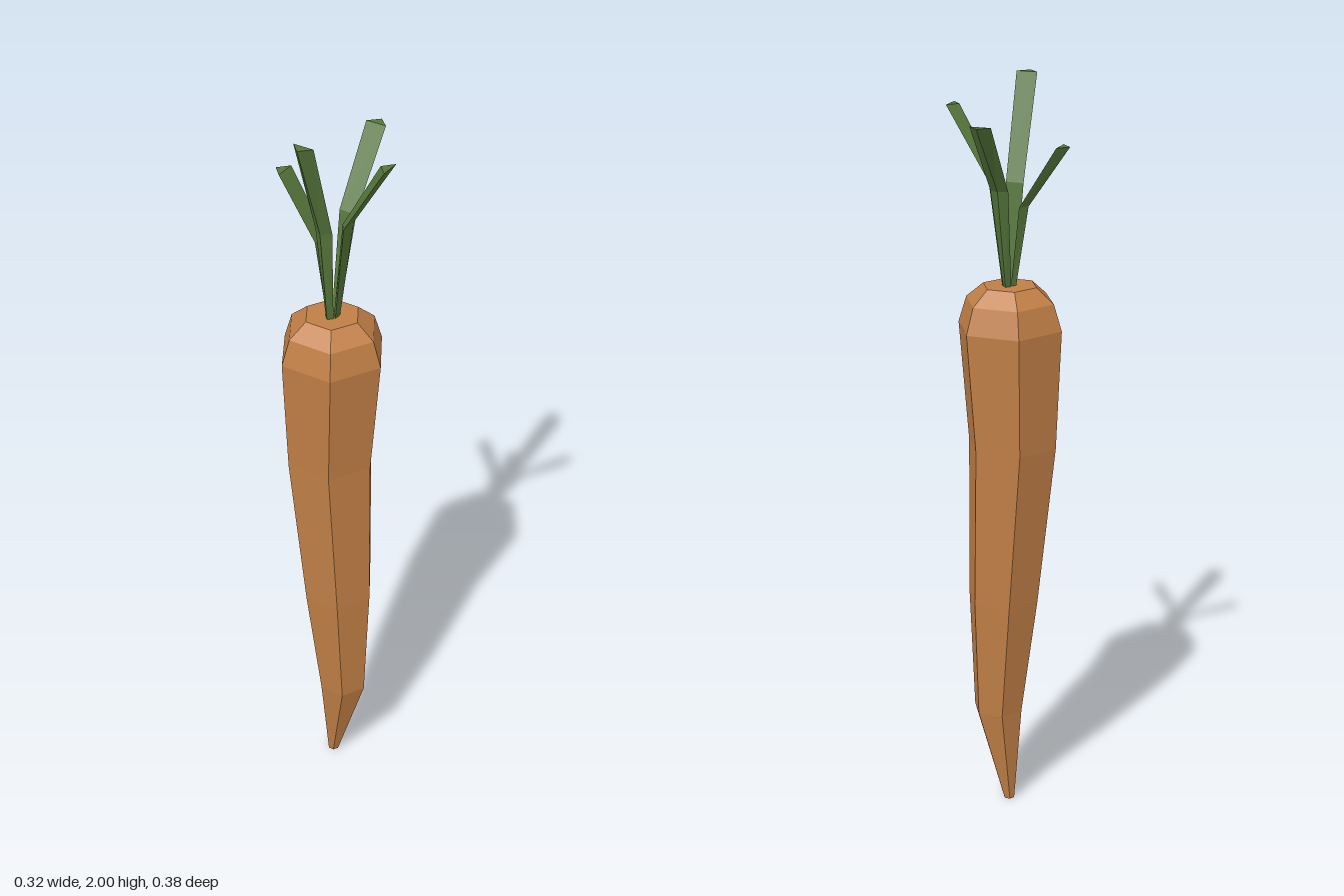
import * as THREE from 'three';

// Closed faceted solid from stacked rings, each counter-clockwise seen from above
function loft(rings) {
  const pos = [];
  const tri = (...pts) => pts.forEach((p) => pos.push(...p));
  const n = rings[0].length;
  for (let i = 0; i < rings.length - 1; i++) {
    const lo = rings[i], up = rings[i + 1];
    for (let j = 0; j < n; j++) {
      const k = (j + 1) % n;
      tri(lo[j], lo[k], up[k]);
      tri(lo[j], up[k], up[j]);
    }
  }
  const bottom = rings[0], top = rings[rings.length - 1];
  for (let j = 1; j < n - 1; j++) {
    tri(bottom[0], bottom[j + 1], bottom[j]);
    tri(top[0], top[j], top[j + 1]);
  }
  const geo = new THREE.BufferGeometry();
  geo.setAttribute('position', new THREE.Float32BufferAttribute(pos, 3));
  geo.computeVertexNormals();
  return geo;
}

export function createModel() {
  const group = new THREE.Group();
  const orange = new THREE.MeshStandardMaterial({ name: 'carrotOrange', color: 0xc17f46, flatShading: true });
  const green = new THREE.MeshStandardMaterial({ name: 'leafGreen', color: 0x55753a, flatShading: true });
  const axisZ = 0.037;

  // Root: slightly bent hexagonal taper, rows of [height, centre x, radius]
  const rows = [
    [0, 0.001, 0.015], [0.27, 0.033, 0.068], [0.6, 0.018, 0.098], [1.04, -0.007, 0.122],
    [1.36, 0, 0.143], [1.43, 0, 0.121], [1.47, 0, 0.074],
  ];
  const root = new THREE.Mesh(loft(rows.map(([y, cx, r]) =>
    Array.from({ length: 6 }, (_, i) => {
      const a = (i * Math.PI) / 3;
      return [cx + r * Math.cos(a), y, -r * Math.sin(a)];
    }))), orange);
  root.name = 'root';
  root.position.z = axisZ;
  group.add(root);

  // Leaves: triangular stems bending outward; flat and ridge are distances from the axis
  const halfWidths = [0.011, 0.024, 0.028];
  const leaves = [
    { name: 'leftLeaf', turn: 0, y: [1.465, 1.74, 1.93], flat: [0.015, 0.047, 0.161], ridge: [0.004, 0.03, 0.135] },
    { name: 'backLeaf', turn: Math.PI / 2, y: [1.465, 1.73, 1.915], flat: [0.015, 0.072, 0.202], ridge: [0.027, 0.085, 0.229] },
    { name: 'rightLeaf', turn: Math.PI, y: [1.465, 1.68, 1.84], flat: [0.008, 0.035, 0.135], ridge: [0.018, 0.052, 0.162] },
    { name: 'frontLeaf', turn: -Math.PI / 2, y: [1.465, 1.73, 2], flat: [0.013, 0.038, 0.125], ridge: [0.025, 0.056, 0.153] },
  ];
  for (const { name, turn, y, flat, ridge } of leaves) {
    const rings = y.map((h, i) => {
      const w = halfWidths[i] * Math.sign(ridge[i] - flat[i]);
      return [[ridge[i], h, 0], [flat[i], h, -w], [flat[i], h, w]];
    });
    const leaf = new THREE.Mesh(loft(rings), green);
    leaf.name = name;
    leaf.rotation.y = turn;
    leaf.position.set(0.002, 0, axisZ + 0.002);
    group.add(leaf);
  }
  return group;
}
